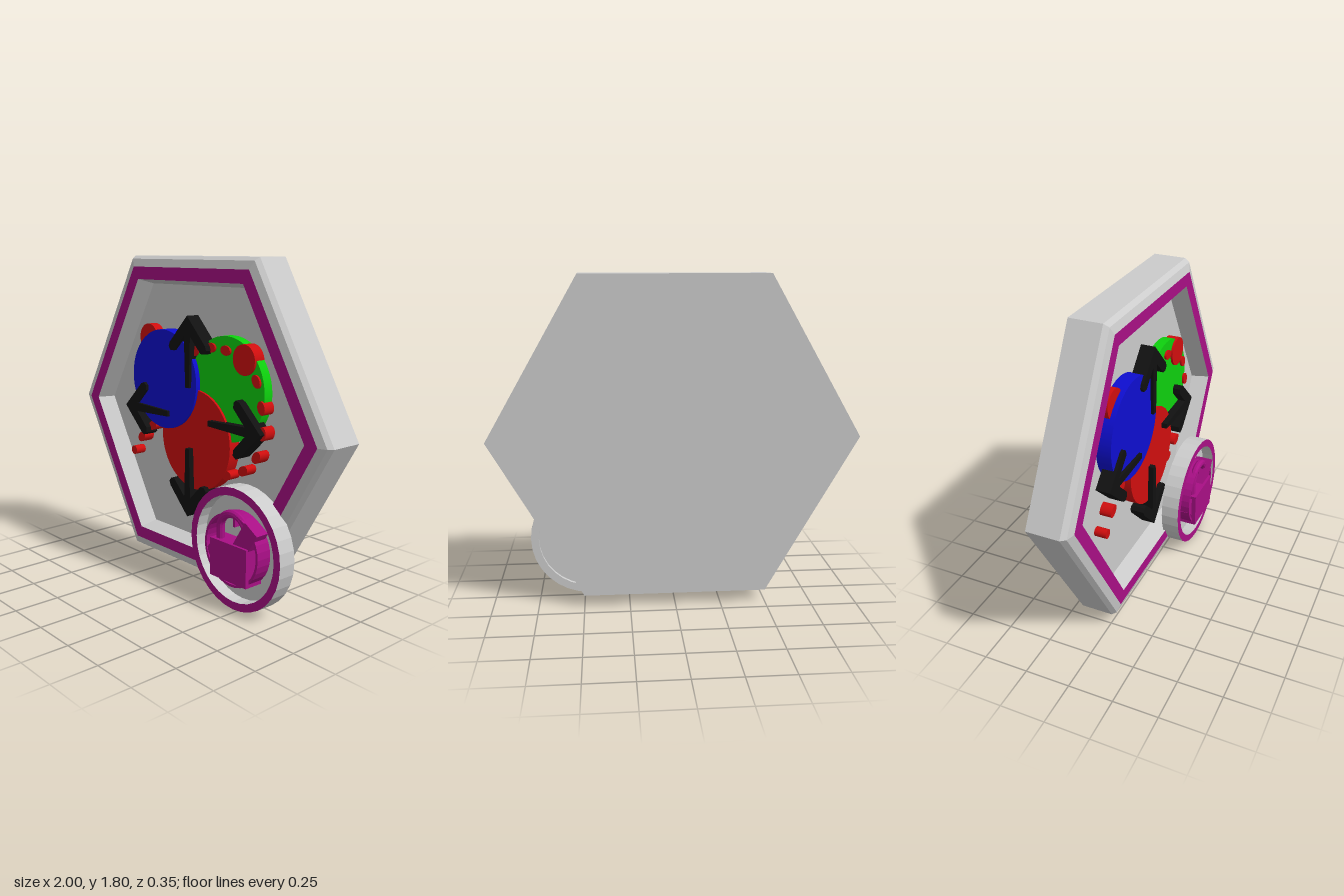
import * as THREE from 'three';

const mat = (color, flat = false) =>
  new THREE.MeshStandardMaterial({ color, flatShading: flat, side: THREE.DoubleSide });
const GREY = mat(0xcccccc, true), PURPLE = mat(0xa80f85, true);
const BLUE = mat(0x0e0ed0), GREEN = mat(0x0ed00e), RED = mat(0xd00e0e), BLACK = mat(0x111111, true);

function add(parent, name, geometry, material) {
  const mesh = new THREE.Mesh(geometry, material);
  mesh.name = name;
  parent.add(mesh);
  return mesh;
}

// Revolves [radius, z] points about the z axis; the first corner lies on +x
function turned(points, sides) {
  const profile = points.map(([r, z]) => new THREE.Vector2(r, z));
  return new THREE.LatheGeometry(profile, sides, Math.PI / 2).rotateX(Math.PI / 2);
}

// Disc facing +z between two depths
function disc(r, x, y, back, front, sides = 48) {
  return new THREE.CylinderGeometry(r, r, front - back, sides)
    .rotateX(Math.PI / 2).translate(x, y, (back + front) / 2);
}

// Box with a turn about z
function block(w, h, x, y, back, front, turn = 0) {
  return new THREE.BoxGeometry(w, h, front - back).rotateZ(turn).translate(x, y, (back + front) / 2);
}

export function createModel() {
  const model = new THREE.Group();
  model.name = 'hexagonalPlaque';
  const FLOOR = -0.055;

  // Hexagonal tray with a bevelled rim and sunken floor
  const plaque = new THREE.Group();
  plaque.name = 'plaque';
  plaque.position.y = 0.935;
  model.add(plaque);
  add(plaque, 'outerCase', turned([[0, -0.175], [1, -0.175], [1, 0.005], [0.98, 0.032], [0.93, 0.045]], 6), GREY);
  add(plaque, 'rimBand', turned([[0.93, 0.045], [0.85, 0.045]], 6), PURPLE);
  add(plaque, 'recess', turned([[0.85, 0.045], [0.82, FLOOR], [0, FLOOR]], 6), GREY);

  // Three overlapping coloured discs
  add(model, 'greenDisc', disc(0.28, 0.263, 1.12, FLOOR, 0), GREEN);
  add(model, 'redDisc', disc(0.28, 0.03, 0.81, FLOOR, 0.014), RED);
  add(model, 'blueDisc', disc(0.28, -0.223, 1.12, FLOOR, 0.028), BLUE);

  // Dotted trail: x, y, turn of each oval bead
  const trail = [
    [-0.53, 0.65, 0], [-0.455, 0.745, 0.7], [-0.35, 0.83, 0.4], [0.02, 1.3, 0.5], [0.15, 1.33, 0.1],
    [0.265, 1.325, -0.1], [0.49, 1.19, -1], [0.53, 1.06, -1.3], [0.54, 0.93, 1.5],
    [0.5, 0.8, 0.9], [0.405, 0.71, 0.5], [0.28, 0.66, 0.2]
  ];
  const dots = new THREE.Group();
  dots.name = 'dottedTrail';
  model.add(dots);
  trail.forEach(([x, y, turn], i) => {
    const bead = disc(0.026, 0, 0, FLOOR, 0.012, 16);
    if (i > 0) bead.scale(1.4, 1, 1);
    add(dots, 'trailDot', bead.rotateZ(turn).translate(x, y, 0), RED);
  });
  add(dots, 'trailStart', disc(0.08, -0.39, 1.34, FLOOR, 0, 32), RED);
  add(dots, 'trailEnd', disc(0.08, 0.403, 1.29, FLOOR, 0.012, 32), RED);

  // Four arrows pointing outwards, each a tapered shaft and two barbs
  const arrowShape = new THREE.Shape();
  [[0.17, -0.015], [0.45, -0.025], [0.365, -0.11], [0.365, -0.14], [0.385, -0.155], [0.41, -0.145],
    [0.56, 0], [0.41, 0.145], [0.385, 0.155], [0.365, 0.14], [0.365, 0.11], [0.45, 0.025], [0.17, 0.015]]
    .forEach(([x, y], i) => (i ? arrowShape.lineTo(x, y) : arrowShape.moveTo(x, y)));
  for (let i = 0; i < 4; i++) {
    const arrow = new THREE.ExtrudeGeometry(arrowShape, { depth: 0.08, bevelEnabled: false });
    arrow.translate(0, 0, -0.035).rotateZ(i * Math.PI / 2).translate(0, 0.93, 0);
    add(model, 'arrow', arrow, BLACK);
  }

  // Round badge at the lower corner: grey hoop, coloured lip, thin dish
  const badge = new THREE.Group();
  badge.name = 'badge';
  badge.position.set(0.47, 0.33, 0);
  model.add(badge);
  add(badge, 'badgeHoop', turned([[0.285, 0.135], [0.285, 0.032], [0.328, 0.032], [0.328, 0.135]], 32), GREY);
  add(badge, 'badgeLip', turned([[0.328, 0.135], [0.285, 0.135]], 32), PURPLE);
  add(badge, 'badgeDish', disc(0.286, 0, 0, 0.052, 0.066, 32), GREY);

  // Emblem: padlock over crossed tools inside a thin ring
  const emblem = new THREE.Group();
  emblem.name = 'emblem';
  badge.add(emblem);
  add(emblem, 'emblemRing',
    turned([[0.182, 0.045], [0.196, 0.045], [0.196, 0.155], [0.182, 0.155], [0.182, 0.045]], 32), PURPLE);
  add(emblem, 'lockBody', block(0.268, 0.205, 0, -0.06, 0.045, 0.175), PURPLE);
  const shackle = new THREE.CurvePath();
  const legs = [-0.095, 0.095].map(x => [new THREE.Vector3(x, 0.02, 0.135), new THREE.Vector3(x, 0.105, 0.135)]);
  const arch = [];
  for (let i = 0; i <= 12; i++) {
    const a = Math.PI * (1 - i / 12);
    arch.push(new THREE.Vector3(0.095 * Math.cos(a), 0.105 + 0.085 * Math.sin(a), 0.135));
  }
  shackle.add(new THREE.LineCurve3(...legs[0]));
  shackle.add(new THREE.CatmullRomCurve3(arch));
  shackle.add(new THREE.LineCurve3(legs[1][1], legs[1][0]));
  add(emblem, 'shackle', new THREE.TubeGeometry(shackle, 40, 0.022, 10), PURPLE);
  add(emblem, 'diagonalTool', block(0.1, 0.3, 0.07, 0.025, 0.08, 0.16, -0.56), PURPLE);
  add(emblem, 'crossTool', block(0.1, 0.12, -0.115, -0.045, 0.08, 0.15, 0.85), PURPLE);
  add(emblem, 'toolTip',
    new THREE.ConeGeometry(0.05, 0.05, 8).rotateZ(Math.PI).translate(-0.005, -0.17, 0.12), PURPLE);
  add(emblem, 'tickMark', block(0.014, 0.06, 0.008, 0.155, 0.06, 0.14), PURPLE);

  return model;
}
